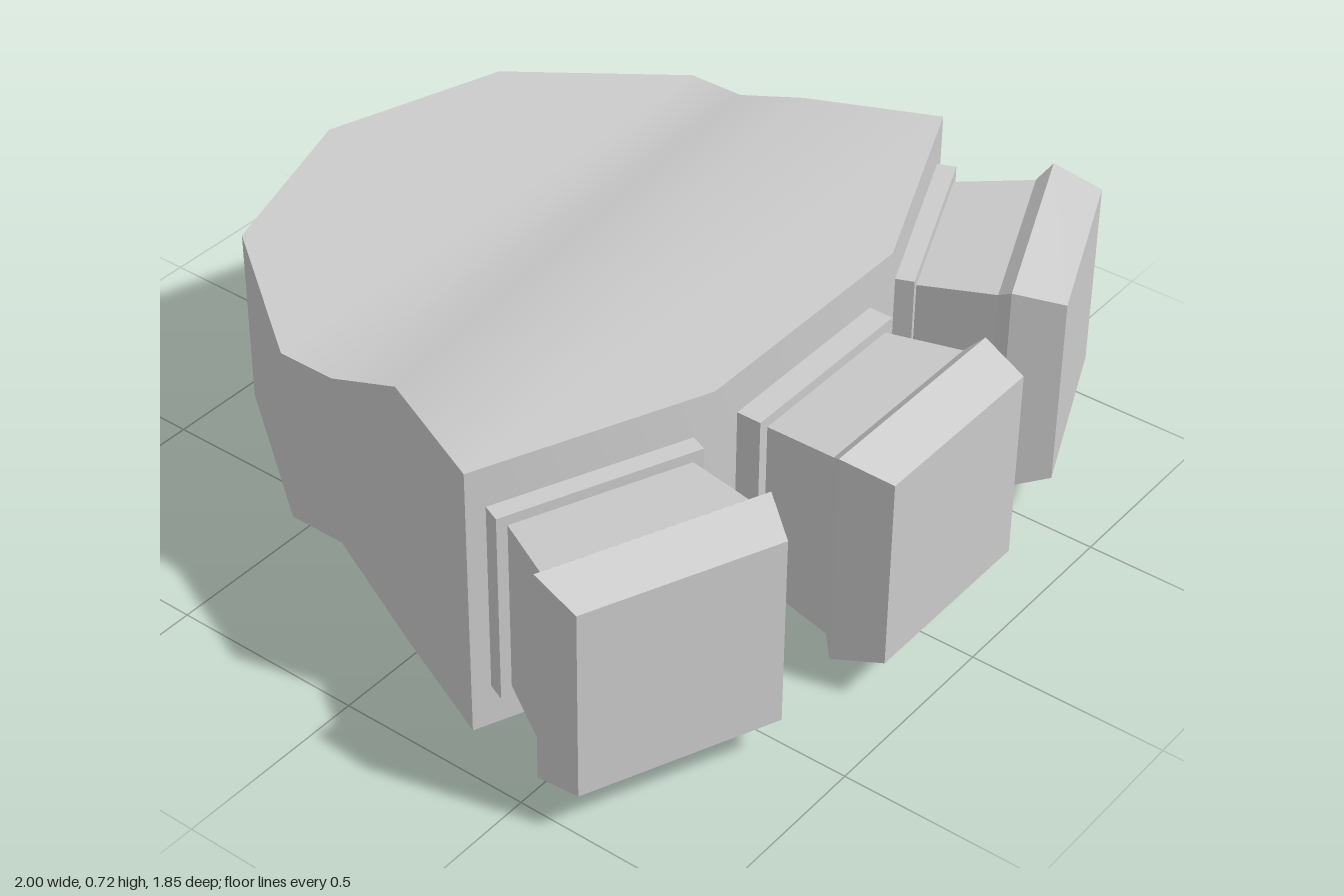
import * as THREE from 'three';
import { toCreasedNormals } from 'three/addons/utils/BufferGeometryUtils.js';

// Closed loft through rectangular sections [z, halfWidth, bottom, top], ordered back to front
function loft(sections, creaseAngle) {
  const rings = sections.map(([z, w, y0, y1]) => [
    new THREE.Vector3(w, y0, z), new THREE.Vector3(w, y1, z),
    new THREE.Vector3(-w, y1, z), new THREE.Vector3(-w, y0, z),
  ]);
  const points = [];
  const tri = (a, b, c) => {
    if (new THREE.Triangle(a, b, c).getArea() > 1e-6) points.push(a, b, c);
  };
  const quad = (a, b, c, d) => { tri(a, b, c); tri(a, c, d); };
  for (let i = 0; i < rings.length - 1; i++) {
    for (let j = 0; j < 4; j++) {
      const k = (j + 1) % 4;
      quad(rings[i][j], rings[i][k], rings[i + 1][k], rings[i + 1][j]);
    }
  }
  const first = rings[0], last = rings[rings.length - 1];
  quad(first[3], first[2], first[1], first[0]);
  quad(...last);
  const geometry = new THREE.BufferGeometry().setFromPoints(points);
  return toCreasedNormals(geometry, creaseAngle);
}

export function createModel() {
  const model = new THREE.Group();
  model.name = 'foot';
  const material = new THREE.MeshStandardMaterial({ color: 0xcccccc });

  const add = (parent, name, geometry) => {
    const mesh = new THREE.Mesh(geometry, material);
    mesh.name = name;
    parent.add(mesh);
  };

  // Main body: thin rounded heel stepping up to a thicker front
  add(model, 'body', loft([
    [-0.925, 0, 0.19, 0.655],
    [-0.775, 0.465, 0.19, 0.655],
    [-0.385, 0.75, 0.19, 0.655],
    [-0.235, 0.75, 0.19, 0.655],
    [-0.045, 0.75, 0, 0.72],
    [0.27, 0.89, 0, 0.72],
    [0.507, 0.335, 0, 0.72],
  ], Math.PI / 6));

  // Toe parts: square sections [z, half size] around the toe axis
  const axisY = 0.3625;
  const square = (sizes) =>
    loft(sizes.map(([z, s]) => [z, s, axisY - s, axisY + s]), 0.1);
  const collar = square([[0.5, 0.252], [0.57, 0.252]]);
  const neck = square([[0.56, 0.224], [0.77, 0.25]]);
  const tip = square([[0.765, 0.25], [0.8, 0.2825], [0.925, 0.25]]);

  // Middle toe and a mirrored pair turned outwards
  for (const [name, side] of [['middleToe', 0], ['leftToe', 1], ['rightToe', -1]]) {
    const toe = new THREE.Group();
    toe.name = name;
    add(toe, 'toeCollar', collar);
    add(toe, 'toeNeck', neck);
    add(toe, 'toeTip', tip);
    toe.rotation.y = side * 0.4;
    toe.position.set(side * 0.41, 0, side ? -0.094 : 0);
    model.add(toe);
  }
  return model;
}
